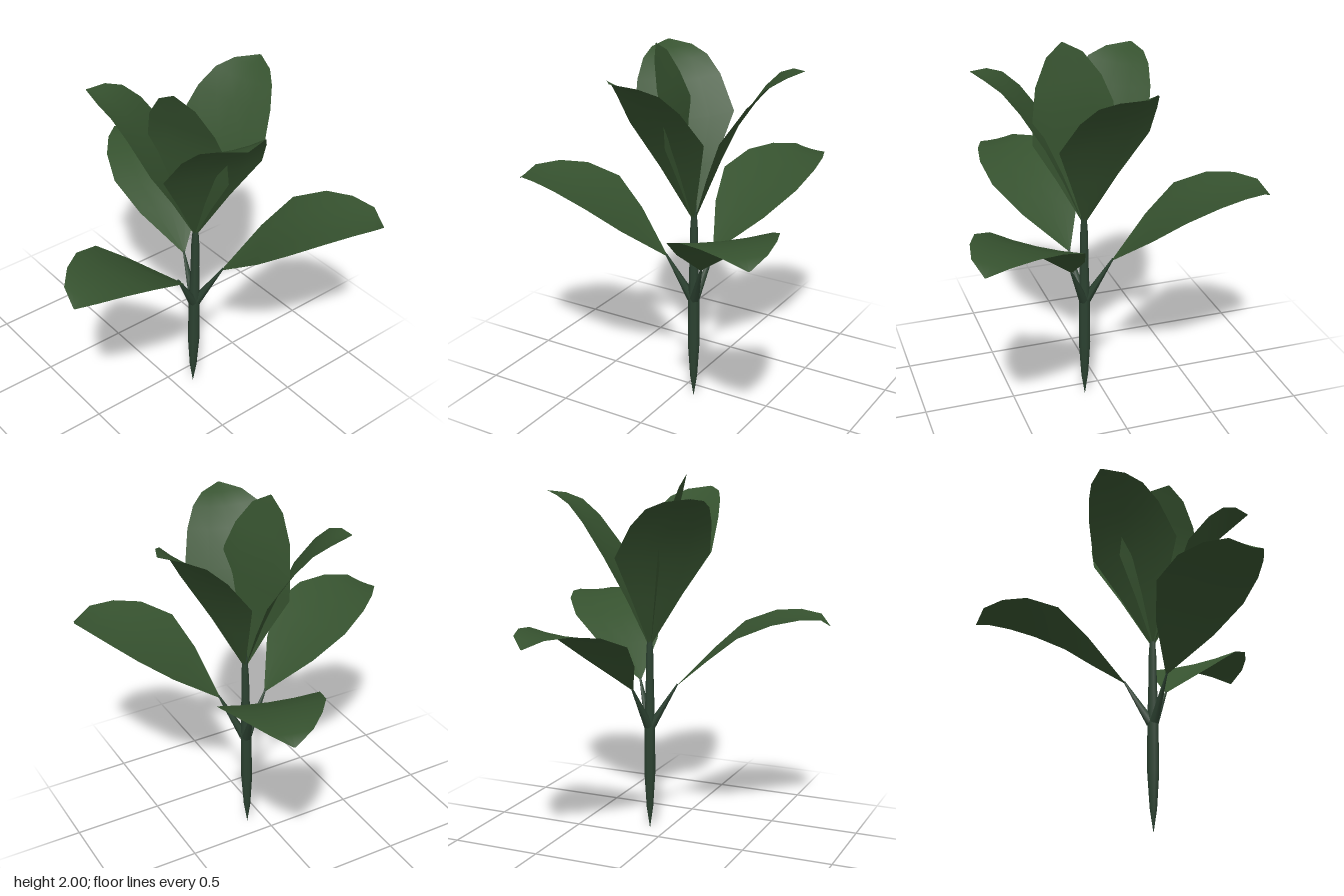
import * as THREE from 'three';

const leafMaterial = new THREE.MeshStandardMaterial({ color: 0x36522f, side: THREE.DoubleSide });
const stemMaterial = new THREE.MeshStandardMaterial({ color: 0x2c4231 });

// Leaf rows: [distance from stem, height, half width]
const lowerRows = [
  [0.15, 0.84, 0.006], [0.345, 1.03, 0.18], [0.505, 1.17, 0.268], [0.68, 1.24, 0.246],
  [0.82, 1.26, 0.184], [0.933, 1.25, 0.105], [0.985, 1.2, 0.004],
];
const upperRows = [
  [0.01, 1.08, 0.012], [0.105, 1.35, 0.145], [0.2, 1.585, 0.27], [0.32, 1.76, 0.226],
  [0.405, 1.85, 0.175], [0.483, 1.89, 0.11], [0.56, 1.908, 0.004],
];
const innerRows = [
  [0.01, 1.08, 0.012], [0.045, 1.31, 0.13], [0.08, 1.53, 0.255], [0.09, 1.67, 0.245],
  [0.135, 1.81, 0.2], [0.175, 1.94, 0.11], [0.2, 2.0, 0.004],
];

// Blade grown along local +x, with its middle sunk by cup
function makeBlade(rows, cup) {
  const cols = [-1, -0.5, 0, 0.5, 1];
  const positions = [];
  const index = [];
  rows.forEach(([r, y, w], i) => {
    cols.forEach((t, j) => {
      positions.push(r, y - cup * (1 - t * t) * (w / 0.27), w * t);
      if (i < rows.length - 1 && j < cols.length - 1) {
        const a = i * cols.length + j;
        const b = a + cols.length;
        index.push(a, a + 1, b, a + 1, b + 1, b);
      }
    });
  });
  const geometry = new THREE.BufferGeometry();
  geometry.setAttribute('position', new THREE.Float32BufferAttribute(positions, 3));
  geometry.setIndex(index);
  geometry.computeVertexNormals();
  return geometry;
}

// Tapered stalk between two points
function makeStalk(from, to, r0, r1) {
  const dir = to.clone().sub(from);
  const geometry = new THREE.CylinderGeometry(r1, r0, dir.length(), 6);
  geometry.applyQuaternion(
    new THREE.Quaternion().setFromUnitVectors(new THREE.Vector3(0, 1, 0), dir.clone().normalize()));
  const mid = from.clone().add(to).multiplyScalar(0.5);
  return geometry.translate(mid.x, mid.y, mid.z);
}

export function createModel() {
  const root = new THREE.Group();
  root.name = 'plant';
  const plant = new THREE.Group();
  plant.name = 'stemAndLeaves';
  plant.position.set(0.11, 0, -0.1);
  root.add(plant);

  // Stem with a pointed foot
  const profile = [[0, 0], [0.02, 0.13], [0.033, 0.33], [0.031, 0.62], [0.024, 0.85], [0.022, 1.0], [0.012, 1.15], [0, 1.17]];
  const stem = new THREE.Mesh(
    new THREE.LatheGeometry(profile.map(([r, y]) => new THREE.Vector2(r, y)), 8), stemMaterial);
  stem.name = 'stem';
  plant.add(stem);

  const addLeaf = (name, degrees, rows, cup, stalk) => {
    const leaf = new THREE.Group();
    leaf.name = name;
    leaf.rotation.y = -THREE.MathUtils.degToRad(degrees);
    const blade = new THREE.Mesh(makeBlade(rows, cup), leafMaterial);
    blade.name = 'blade';
    leaf.add(blade);
    if (stalk) {
      const mesh = new THREE.Mesh(
        makeStalk(new THREE.Vector3(0.012, 0.61, 0), new THREE.Vector3(0.155, 0.85, 0), 0.027, 0.005), stemMaterial);
      mesh.name = 'leafStalk';
      leaf.add(mesh);
    }
    plant.add(leaf);
  };

  // Two whorls of three leaves and one upright inner leaf
  for (let i = 0; i < 3; i++) {
    addLeaf('lowerLeaf', 75 + i * 120, lowerRows, 0.02, true);
    addLeaf('upperLeaf', 15 + i * 120, upperRows, 0.03, false);
  }
  addLeaf('innerLeaf', 75, innerRows, 0.01, false);
  return root;
}
